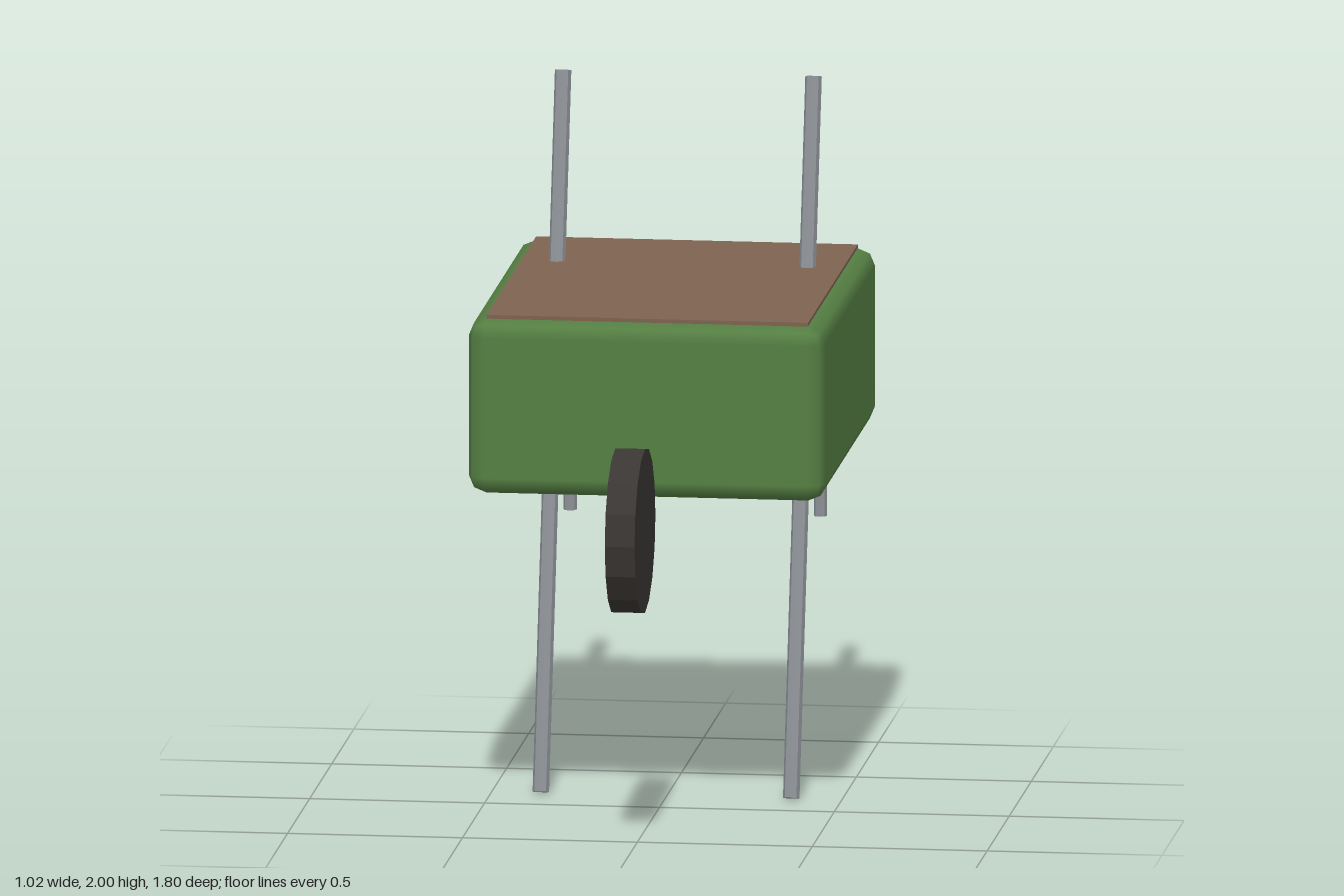
import * as THREE from 'three';
import { RoundedBoxGeometry } from 'three/addons/geometries/RoundedBoxGeometry.js';

const material = (color, flatShading = false) => new THREE.MeshStandardMaterial({ color, flatShading });

export function createModel() {
  const group = new THREE.Group();
  const green = material(0x557f43);
  const brown = material(0x7d6250);
  const metal = material(0x8c9196, true);
  const rubber = material(0x3a3633, true);

  const add = (name, geometry, mat, x, y, z) => {
    const mesh = new THREE.Mesh(geometry, mat);
    mesh.name = name;
    mesh.position.set(x, y, z);
    group.add(mesh);
    return mesh;
  };

  // Tray with softened edges, and the slightly raised load on top
  add('tray', new RoundedBoxGeometry(1.02, 0.505, 1.22, 1, 0.05), green, 0, 1.208, -0.285);
  add('soil', new THREE.BoxGeometry(0.92, 0.06, 1.13), brown, 0, 1.44, -0.287);

  // Front wheel, axle along x, one rim corner straight up
  const wheel = new THREE.CylinderGeometry(0.237, 0.237, 0.085, 16).rotateZ(Math.PI / 2);
  add('wheel', wheel, rubber, 0, 0.935, 0.664);

  // Slanted handle poles and short rear legs, mirrored left and right
  const bottom = new THREE.Vector3(0, 0.006, -0.15);
  const top = new THREE.Vector3(0, 1.994, -0.655);
  const along = top.clone().sub(bottom);
  const middle = bottom.clone().add(top).multiplyScalar(0.5);
  for (const [side, s] of [['left', 1], ['right', -1]]) {
    const handle = add(side + 'Handle', new THREE.CylinderGeometry(0.0236, 0.0236, along.length(), 8),
      metal, s * 0.358, middle.y, middle.z);
    handle.quaternion.setFromUnitVectors(new THREE.Vector3(0, 1, 0), along.clone().normalize());
    add(side + 'Leg', new THREE.CylinderGeometry(0.019, 0.019, 0.255, 8), metal, s * 0.358, 0.818, -0.814);
  }
  return group;
}
